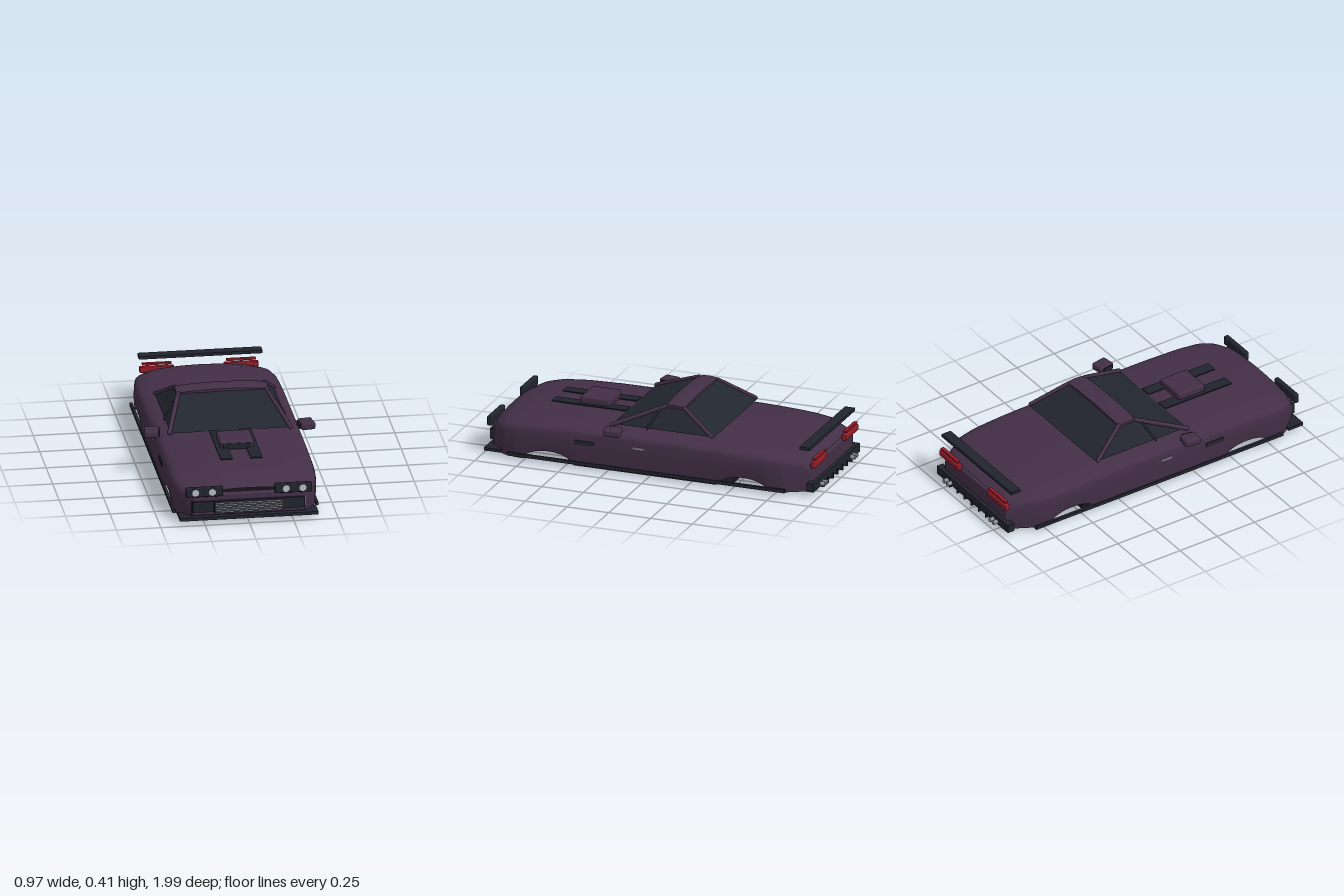
import * as THREE from 'three';
import { RoundedBoxGeometry } from 'three/addons/geometries/RoundedBoxGeometry.js';

const mat = (name, color, side = THREE.FrontSide) => {
  const m = new THREE.MeshStandardMaterial({ color, side });
  m.name = name;
  return m;
};

// Linear lookup in a list of [z, value] pairs sorted by z
function lookup(table, z) {
  for (let i = 1; i < table.length; i++) {
    const [z0, a] = table[i - 1], [z1, b] = table[i];
    if (z <= z1) return a + (b - a) * Math.max(0, (z - z0) / (z1 - z0));
  }
  return table[table.length - 1][1];
}

const HEIGHT = [[-0.95, 0.19], [-0.9, 0.217], [-0.8, 0.238], [-0.6, 0.251], [-0.4, 0.258], [0, 0.262],
  [0.45, 0.26], [0.65, 0.254], [0.8, 0.242], [0.9, 0.222], [0.955, 0.195]];
const WIDTH = [[-0.95, 0.305], [-0.88, 0.34], [-0.8, 0.385], [-0.7, 0.403], [-0.5, 0.408], [0.7, 0.408],
  [0.8, 0.402], [0.87, 0.385], [0.92, 0.35], [0.955, 0.32]];
// Upper half of the cross-section: [fraction of half-width, drop from crown]
const SHOULDER = [[1, 0.062], [0.985, 0.046], [0.95, 0.034], [0.88, 0.024], [0.75, 0.015], [0.5, 0.006], [0.25, 0.0015], [0, 0]];

function bodyShell() {
  const pos = [], idx = [], steps = 130, z0 = -0.95, z1 = 0.955;
  let cols = 0;
  for (let i = 0; i <= steps; i++) {
    const z = z0 + (z1 - z0) * i / steps, h = lookup(HEIGHT, z), w = lookup(WIDTH, z);
    // wheel arches lift the lower edge
    let low = 0.014;
    for (const c of [0.6, -0.565]) {
      const d = (z - c) / 0.145;
      if (Math.abs(d) < 1) low += 0.062 * Math.sqrt(1 - d * d);
    }
    const half = [];
    for (let k = 0; k < 4; k++) {
      const t = k / 4;
      half.push([w * (0.985 + 0.02 * Math.sin(t * Math.PI * 0.75)), low + (h - 0.062 - low) * t]);
    }
    for (const [f, drop] of SHOULDER) half.push([w * f, h - drop]);
    const ring = [...half, ...half.slice(0, -1).reverse().map(([x, y]) => [-x, y])];
    cols = ring.length;
    for (const [x, y] of ring) pos.push(x, y, z);
  }
  for (let i = 0; i < steps; i++) for (let j = 0; j < cols - 1; j++) {
    const a = i * cols + j, b = a + cols;
    idx.push(a, a + 1, b, b, a + 1, b + 1);
  }
  const g = new THREE.BufferGeometry();
  g.setAttribute('position', new THREE.Float32BufferAttribute(pos, 3));
  g.setIndex(idx);
  g.computeVertexNormals();
  return g;
}

function quad(a, b, c, d) {
  const g = new THREE.BufferGeometry();
  g.setAttribute('position', new THREE.Float32BufferAttribute([...a, ...b, ...c, ...d], 3));
  g.setIndex([0, 1, 2, 0, 2, 3]);
  g.computeVertexNormals();
  return g;
}

export function createModel() {
  const car = new THREE.Group();
  car.name = 'carBody';
  const paint = mat('plum paint', 0x432f47);
  const shellPaint = paint.clone();
  shellPaint.side = THREE.DoubleSide;
  const trim = mat('black trim', 0x22242e);
  const glass = mat('dark glass', 0x22262f, THREE.DoubleSide);
  const red = mat('tail red', 0x951d28);
  const silver = mat('silver', 0x8b8e96);
  const lamp = mat('lamp white', 0xb9bbc6);
  const under = mat('underbody black', 0x17171c);

  const add = (name, geo, material, x = 0, y = 0, z = 0) => {
    const m = new THREE.Mesh(geo, material);
    m.name = name;
    m.position.set(x, y, z);
    car.add(m);
    return m;
  };
  // Box given by its limits on each axis
  const box = (name, material, x0, x1, y0, y1, z0, z1, r = 0) => {
    const s = [x1 - x0, y1 - y0, z1 - z0];
    const g = r ? new RoundedBoxGeometry(...s, 3, r) : new THREE.BoxGeometry(...s);
    return add(name, g, material, (x0 + x1) / 2, (y0 + y1) / 2, (z0 + z1) / 2);
  };
  // The same box on both sides
  const pair = (name, material, x0, x1, ...rest) => {
    box(name + 'Left', material, x0, x1, ...rest);
    box(name + 'Right', material, -x1, -x0, ...rest);
  };
  const bar = (name, material, a, b, r) => {
    const path = new THREE.LineCurve3(new THREE.Vector3(...a), new THREE.Vector3(...b));
    const len = path.getLength();
    const m = add(name, new THREE.CapsuleGeometry(r, len, 4, 10), material);
    m.position.copy(path.getPoint(0.5));
    m.quaternion.setFromUnitVectors(new THREE.Vector3(0, 1, 0), path.getTangent(0));
  };

  // Shell, end panels and underside
  add('bodyShell', bodyShell(), shellPaint);
  box('frontPanel', paint, -0.318, 0.318, 0.045, 0.172, 0.93, 0.968, 0.012);
  box('rearPanel', paint, -0.305, 0.305, 0.03, 0.17, -0.952, -0.925, 0.01);
  box('floorPan', under, -0.345, 0.345, 0, 0.02, -0.475, 0.505);
  box('frontSplitter', trim, -0.39, 0.39, 0.025, 0.043, 0.89, 0.988);
  pair('sideSkirt', trim, 0.395, 0.411, 0.022, 0.041, -0.82, 0.84);

  // Nose: grille, intakes and headlights
  box('grille', trim, -0.195, 0.195, 0.063, 0.134, 0.96, 0.984);
  for (let i = 0; i < 6; i++) box('grilleBar', silver, -0.187, 0.187, 0.0685 + i * 0.0102, 0.0725 + i * 0.0102, 0.98, 0.99);
  pair('frontIntake', trim, 0.197, 0.315, 0.07, 0.133, 0.955, 0.98);
  pair('headlightHousing', trim, 0.146, 0.355, 0.162, 0.217, 0.955, 0.984, 0.006);
  for (const x of [-0.302, -0.208, 0.208, 0.302]) {
    add('headlight', new THREE.CylinderGeometry(0.02, 0.02, 0.012, 20), lamp, x, 0.19, 0.982).rotation.x = Math.PI / 2;
  }

  // Bonnet stripes and scoop
  pair('bonnetStripe', trim, 0.05, 0.118, 0.264, 0.27, 0.245, 0.69);
  box('scoop', paint, -0.095, 0.095, 0.258, 0.308, 0.352, 0.528, 0.012);
  box('scoopMouth', trim, -0.08, 0.08, 0.262, 0.295, 0.524, 0.531);

  // Arched roof
  const roof = new THREE.BoxGeometry(0.52, 0.014, 0.115, 16, 1, 8);
  const p = roof.attributes.position;
  for (let i = 0; i < p.count; i++) {
    const u = p.getX(i) / 0.26, v = p.getZ(i) / 0.0575;
    p.setY(i, p.getY(i) + 0.013 * (1 - u * u) + 0.008 * (1 - v * v));
  }
  roof.computeVertexNormals();
  add('roof', roof, paint, 0, 0.379, -0.105);

  // Windscreen and rear window
  add('windscreen', quad([-0.335, 0.262, 0.243], [0.335, 0.262, 0.243], [0.25, 0.384, -0.05], [-0.25, 0.384, -0.05]), glass);
  add('rearWindow', quad([0.335, 0.264, -0.365], [-0.335, 0.264, -0.365], [-0.25, 0.384, -0.16], [0.25, 0.384, -0.16]), glass);

  for (const s of [1, -1]) {
    const side = s > 0 ? 'Left' : 'Right';
    // Side glass and pillars
    add('sideWindow' + side, quad([s * 0.337, 0.268, 0.235], [s * 0.337, 0.268, -0.355], [s * 0.255, 0.382, -0.155], [s * 0.255, 0.382, -0.055]), glass);
    bar('frontPillar' + side, paint, [s * 0.341, 0.264, 0.24], [s * 0.25, 0.382, -0.05], 0.013);
    bar('rearPillar' + side, paint, [s * 0.335, 0.27, -0.355], [s * 0.25, 0.382, -0.16], 0.012);
    bar('doorPillar' + side, trim, [s * 0.34, 0.266, 0.03], [s * 0.258, 0.38, -0.025], 0.007);
    // Mirrors
    const mirror = new THREE.Group();
    mirror.name = 'mirror' + side;
    const shell = new THREE.Mesh(new RoundedBoxGeometry(0.082, 0.043, 0.095, 3, 0.012), paint);
    shell.name = 'mirrorShell';
    const foot = new THREE.Mesh(new THREE.BoxGeometry(0.012, 0.03, 0.06), trim);
    foot.name = 'mirrorFoot';
    foot.position.x = -s * 0.042;
    mirror.add(shell, foot);
    mirror.position.set(s * 0.437, 0.259, 0.197);
    mirror.rotation.y = s * 0.15;
    car.add(mirror);
    // Twin exhaust tips
    for (const x of [0.212, 0.246]) {
      const g = new THREE.CylinderGeometry(0.013, 0.013, 0.06, 14);
      add('exhaust' + side, g, silver, s * x, 0.045, -0.97).rotation.x = Math.PI / 2;
    }
  }

  // Side vents and door handles
  pair('sideVent', trim, 0.4, 0.414, 0.144, 0.169, 0.322, 0.44);
  pair('doorHandle', silver, 0.402, 0.415, 0.163, 0.173, 0.02, 0.088);

  // Tail: bumper, fins, lights and wing
  box('rearBumper', trim, -0.355, 0.355, 0.028, 0.078, -0.973, -0.93);
  for (let i = -3; i <= 3; i++) box('diffuserFin', trim, i * 0.072 - 0.003, i * 0.072 + 0.003, 0.015, 0.05, -0.982, -0.93);
  pair('tailLight', red, 0.14, 0.335, 0.163, 0.197, -0.972, -0.945, 0.005);
  pair('tailLightStrip', red, 0.155, 0.32, 0.206, 0.217, -0.97, -0.95);
  box('rearWing', trim, -0.348, 0.348, 0.268, 0.286, -0.945, -0.885);
  return car;
}
